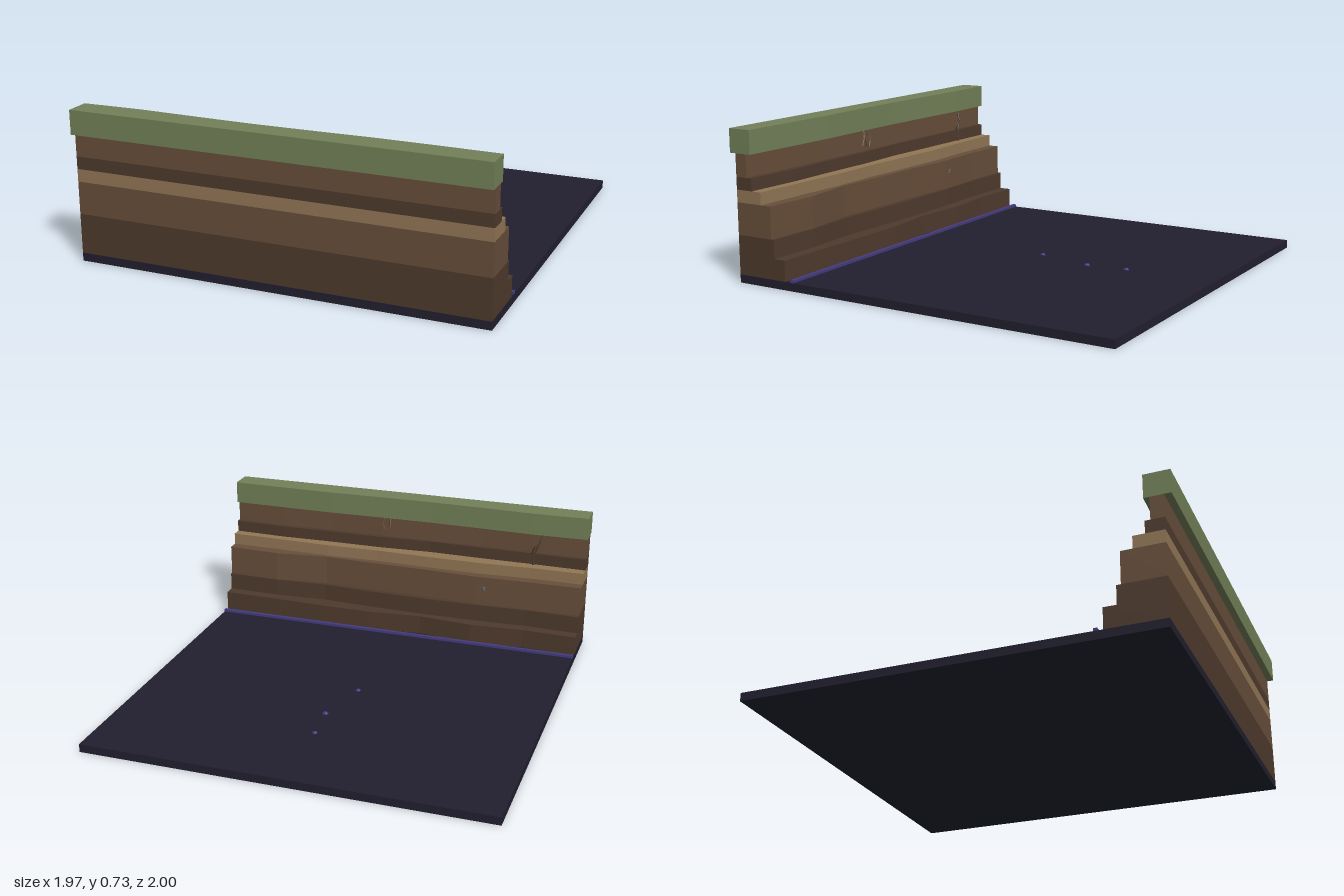
import * as THREE from 'three';

const HALF = 0.985;
const FRONT = 0.967;

export function createModel() {
  const group = new THREE.Group();
  const mats = {};
  const mat = (color) => (mats[color] ??= new THREE.MeshStandardMaterial({ color, flatShading: true }));
  const add = (name, geometry, color, x = 0, y = 0, z = 0) => {
    const mesh = new THREE.Mesh(geometry, mat(color));
    mesh.name = name;
    mesh.position.set(x, y, z);
    group.add(mesh);
    return mesh;
  };

  // Ground slab
  add('groundSlab', new THREE.BoxGeometry(2 * HALF, 0.04, 1 + FRONT), 0x211f2e, 0, 0.02, (FRONT - 1) / 2);

  // Soil layers: straight front, ragged back edge given by evenly spaced z values
  const layer = (name, y0, y1, front, color, back) => {
    const shape = new THREE.Shape();
    shape.moveTo(-HALF, -front);
    shape.lineTo(HALF, -front);
    for (let i = back.length - 1; i >= 0; i--) {
      shape.lineTo(-HALF + (2 * HALF * i) / (back.length - 1), -back[i]);
    }
    shape.closePath();
    const geometry = new THREE.ExtrudeGeometry(shape, { depth: y1 - y0, bevelEnabled: false });
    geometry.rotateX(-Math.PI / 2);
    add(name, geometry, color, 0, y0, 0);
  };
  const DARK = 0x4e3a2d, BROWN = 0x674e3a, TAN = 0x917655, GRASS = 0x728058;
  layer('bottomSoil', 0.04, 0.14, FRONT, DARK, [0.69, 0.7, 0.68, 0.705, 0.68, 0.68, 0.69, 0.695]);
  layer('lowerSoil', 0.14, 0.23, FRONT, DARK, [0.75, 0.757, 0.745, 0.742, 0.75, 0.765, 0.748, 0.755]);
  layer('middleSoil', 0.23, 0.385, FRONT, BROWN, [0.77, 0.77, 0.76, 0.775, 0.78, 0.79, 0.755, 0.77]);
  layer('sandBand', 0.385, 0.445, FRONT, TAN, [0.825, 0.825, 0.81, 0.812, 0.82, 0.812, 0.82, 0.825]);
  layer('darkBand', 0.445, 0.505, FRONT, DARK, [0.88, 0.885, 0.885, 0.89, 0.875, 0.875, 0.868, 0.878]);
  layer('upperSoil', 0.505, 0.615, FRONT, BROWN, [0.905, 0.9, 0.908, 0.905, 0.9, 0.905, 0.898, 0.907]);
  layer('grassCap', 0.615, 0.73, 1, GRASS, [0.878, 0.87, 0.878, 0.884, 0.88, 0.873, 0.875, 0.88]);

  // Strip along the foot of the bank
  add('footStrip', new THREE.BoxGeometry(2 * HALF, 0.014, 0.018), 0x443c80, 0, 0.046, 0.656);

  // Pebbles scattered on the ground
  for (const [x, z, r] of [[0, -0.56, 0.014], [0.02, -0.36, 0.016], [-0.05, -0.075, 0.014]]) {
    add('pebble', new THREE.IcosahedronGeometry(r, 0), 0x443c80, x, 0.045, z).scale.y = 0.6;
  }

  // Stone set in the bank
  const stone = add('stone', new THREE.DodecahedronGeometry(0.026, 0), 0x5c6265, -0.47, 0.32, 0.777);
  stone.scale.set(1, 0.85, 0.85);

  // Roots hanging below the turf
  const root = (points, color) => {
    const curve = new THREE.CatmullRomCurve3(points.map((p) => new THREE.Vector3(...p)));
    add('root', new THREE.TubeGeometry(curve, 8, 0.005, 5), color);
  };
  root([[-0.75, 0.62, 0.89], [-0.735, 0.56, 0.872], [-0.715, 0.51, 0.866], [-0.71, 0.45, 0.86]], DARK);
  root([[-0.735, 0.56, 0.872], [-0.71, 0.54, 0.868], [-0.7, 0.505, 0.872]], DARK);
  root([[0.12, 0.62, 0.892], [0.13, 0.58, 0.88], [0.15, 0.54, 0.876]], BROWN);
  root([[0.09, 0.62, 0.892], [0.085, 0.57, 0.878], [0.1, 0.53, 0.872]], BROWN);
  root([[0.13, 0.58, 0.88], [0.115, 0.55, 0.878], [0.11, 0.53, 0.884]], BROWN);

  return group;
}
